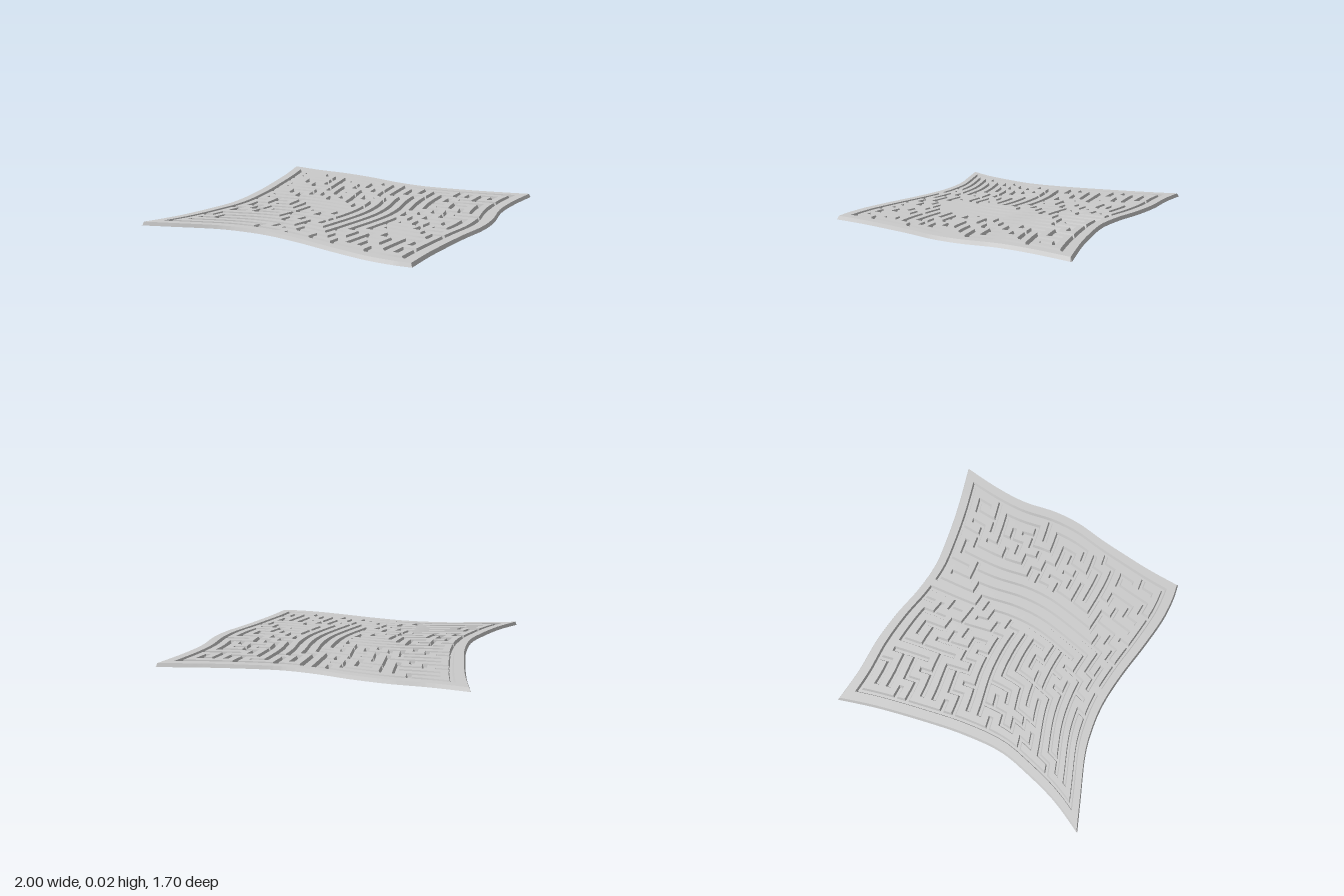
import * as THREE from 'three';

const CELLS = 20;       // maze cells per side
const HEIGHT = 0.022;
const MARGIN = 0.05;    // rim width, as a fraction of the side
const GROOVE = [-0.0095, -0.005, 0.005, 0.0095]; // lip, floor, floor, lip

// Wavy outline of the plate, as x,z points
const edge = (...p) => new THREE.SplineCurve(p.map(([x, z]) => new THREE.Vector2(x, z)));
const back = edge([-0.82, -0.855], [-0.6, -0.82], [-0.37, -0.805], [-0.15, -0.765], [0.05, -0.71],
  [0.25, -0.68], [0.45, -0.69], [0.7, -0.72], [1, -0.775]);
const front = edge([-1, 0.81], [-0.8, 0.755], [-0.56, 0.69], [-0.39, 0.67], [-0.21, 0.675],
  [0, 0.715], [0.24, 0.78], [0.455, 0.83], [0.615, 0.845], [0.73, 0.84]);
const right = edge([-0.82, -0.855], [-0.775, -0.615], [-0.74, -0.32], [-0.72, -0.05], [-0.73, 0.2],
  [-0.79, 0.4], [-0.88, 0.615], [-1, 0.81]);
const left = edge([1, -0.775], [0.94, -0.535], [0.91, -0.32], [0.92, -0.1], [0.9, 0.08],
  [0.845, 0.27], [0.8, 0.455], [0.76, 0.64], [0.73, 0.84]);

function seeded(seed) {
  return () => (seed = (seed * 16807) % 2147483647) / 2147483647;
}

// Preferred corridor direction by region: >0 along x, <0 along z
function grain(i, j) {
  if (i > 9 && i < 13 && j > 6 && j < 17) return -1;
  if (i > 4 && i < 10 && j > 8 && j < 12) return 1;
  if (i > 9 && i < 15 && j < 7) return -0.6;
  if (i < 3 && j < 12) return 0.6;
  if (i < 7 && j > 14) return 0.7;
  return 0;
}

// Carve a depth-first maze; wallX[i][j] runs along x from node (i,j), wallZ along z
function makeMaze() {
  const rnd = seeded(4711);
  const grid = (v) => Array.from({ length: CELLS + 2 }, () => new Array(CELLS + 2).fill(v));
  const wallX = grid(false), wallZ = grid(false), seen = grid(false);
  for (let i = 0; i <= CELLS; i++) {
    for (let j = 0; j <= CELLS; j++) {
      wallX[i][j] = i < CELLS;
      wallZ[i][j] = j < CELLS;
    }
  }
  const stack = [[10, 0]];
  seen[10][0] = true;
  while (stack.length) {
    const [i, j] = stack[stack.length - 1];
    const options = [[1, 0], [-1, 0], [0, 1], [0, -1]]
      .map(([di, dj]) => [di, dj, rnd() + (di ? 1 : -1) * 0.4 * grain(i, j)])
      .filter(([di, dj]) => {
        const a = i + di, b = j + dj;
        return a >= 0 && b >= 0 && a < CELLS && b < CELLS && !seen[a][b];
      })
      .sort((p, q) => q[2] - p[2]);
    if (!options.length) {
      stack.pop();
      continue;
    }
    const [di, dj] = options[0];
    if (di) wallZ[Math.max(i, i + di)][j] = false;
    else wallX[i][Math.max(j, j + dj)] = false;
    seen[i + di][j + dj] = true;
    stack.push([i + di, j + dj]);
  }
  // Entrance and exit
  wallX[10][0] = false;
  wallX[9][CELLS] = false;
  return { wallX, wallZ };
}

// Pressed sheet: raised rim and paths, sloped grooves for the maze walls, sloped skirt
function plateGeometry() {
  const { wallX, wallZ } = makeMaze();
  const ts = [0, 0.006];
  for (let i = 0; i <= CELLS; i++) {
    const c = MARGIN + (1 - 2 * MARGIN) * i / CELLS;
    GROOVE.forEach((g) => ts.push(c + g));
  }
  ts.push(0.994, 1);
  const n = ts.length;

  const hasX = (i, j) => i >= 0 && wallX[i][j];
  const hasZ = (i, j) => j >= 0 && wallZ[i][j];
  const onFloor = (a) => a === 1 || a === 2;

  function heightAt(p, q) {
    if (p === 0 || q === 0 || p === n - 1 || q === n - 1) return 0;
    if (p === 1 || q === 1 || p === n - 2 || q === n - 2) return HEIGHT;
    const i = (p - 2) >> 2, a = (p - 2) & 3, j = (q - 2) >> 2, b = (q - 2) & 3;
    let low = false;
    if (onFloor(a) && onFloor(b)) low = hasX(i, j) || hasX(i - 1, j) || hasZ(i, j) || hasZ(i, j - 1);
    else if (onFloor(a)) low = b === 3 ? hasZ(i, j) : hasZ(i, j - 1);
    else if (onFloor(b)) low = a === 3 ? hasX(i, j) : hasX(i - 1, j);
    return low ? 0 : HEIGHT;
  }

  // Blend the four edges into a warped patch
  const [B, F, R, L] = [back, front, right, left].map((c) => ts.map((t) => c.getPointAt(t)));
  const blend = (p, q, k) => {
    const u = ts[p], v = ts[q], e = n - 1;
    return (1 - v) * B[p][k] + v * F[p][k] + (1 - u) * R[q][k] + u * L[q][k]
      - (1 - u) * (1 - v) * B[0][k] - u * (1 - v) * B[e][k]
      - (1 - u) * v * F[0][k] - u * v * F[e][k];
  };

  const pos = [], index = [];
  const side = (k) => (k === 0 || k % 4 === 2 ? -1 : 1);
  for (let q = 0; q < n; q++) {
    for (let p = 0; p < n; p++) {
      pos.push(blend(p, q, 'x'), heightAt(p, q), blend(p, q, 'y'));
      if (p === n - 1 || q === n - 1) continue;
      const a = q * n + p, b = a + n, c = b + 1, d = a + 1;
      // Split each quad so that groove corners are mitred
      if (side(p) === side(q)) index.push(a, b, c, a, c, d);
      else index.push(a, b, d, b, c, d);
    }
  }
  const geo = new THREE.BufferGeometry();
  geo.setAttribute('position', new THREE.Float32BufferAttribute(pos, 3));
  geo.setIndex(index);
  geo.computeVertexNormals();
  return geo;
}

export function createModel() {
  const group = new THREE.Group();
  group.name = 'warpedMaze';
  const material = new THREE.MeshStandardMaterial({
    color: 0xcccccc, flatShading: true, side: THREE.DoubleSide,
  });
  const plate = new THREE.Mesh(plateGeometry(), material);
  plate.name = 'mazePlate';
  group.add(plate);
  return group;
}
